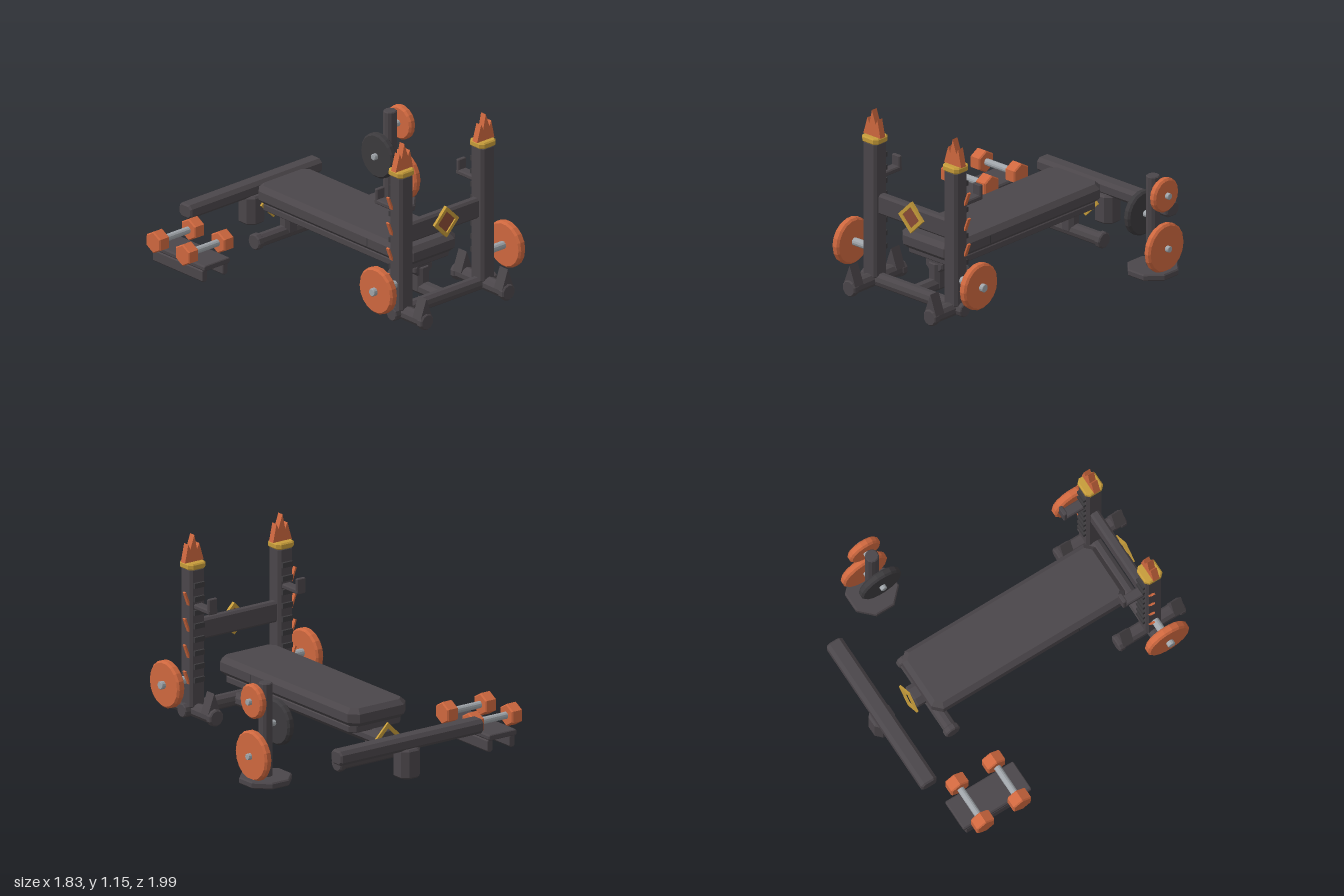
import * as THREE from 'three';

const mat = (name, color) => {
  const m = new THREE.MeshStandardMaterial({ color });
  m.name = name;
  return m;
};

export function createModel() {
  const root = new THREE.Group();
  root.name = 'benchPressSet';
  const iron = mat('dark iron', 0x4b464a);
  const black = mat('black rubber', 0x3c3a3d);
  const orange = mat('ember orange', 0xcf683f);
  const ember = mat('deep ember', 0x8a4a36);
  const gold = mat('gold', 0xc69c3a);
  const steel = mat('steel', 0xa0a5aa);
  const CX = 0.013; // centre line of the bench

  const add = (name, geo, m, x, y, z, parent = root) => {
    const mesh = new THREE.Mesh(geo, m);
    mesh.name = name;
    mesh.position.set(x, y, z);
    parent.add(mesh);
    return mesh;
  };
  const poly = pts => new THREE.Shape(pts.map(p => new THREE.Vector2(p[0], p[1])));
  const extrude = (shape, depth) =>
    new THREE.ExtrudeGeometry(shape, { depth, bevelEnabled: false }).translate(0, 0, -depth / 2);

  // Box with cut corners (c) and bevelled ends (b); length d runs along the chosen axis
  const bar = (w, h, d, c, b, axis = 'z') => {
    const x = w / 2 - b, y = h / 2 - b;
    const s = poly([[-x + c, -y], [x - c, -y], [x, -y + c], [x, y - c],
      [x - c, y], [-x + c, y], [-x, y - c], [-x, -y + c]]);
    const g = new THREE.ExtrudeGeometry(s, {
      depth: d - 2 * b, bevelThickness: b, bevelSize: b, bevelSegments: 1,
    }).translate(0, 0, b - d / 2);
    if (axis === 'x') g.rotateY(Math.PI / 2);
    if (axis === 'y') g.rotateX(-Math.PI / 2);
    return g;
  };

  // Faceted disc or rod with bevelled rims
  const disc = (r, t, n, b, axis = 'x', turn = 0) => {
    const h = t / 2;
    const pts = [[0, -h], [r - b, -h], [r, b - h], [r, h - b], [r - b, h], [0, h]];
    let g = new THREE.LatheGeometry(pts.map(p => new THREE.Vector2(p[0], p[1])), n).toNonIndexed();
    g.rotateY(turn);
    if (axis === 'x') g.rotateZ(Math.PI / 2);
    if (axis === 'z') g.rotateX(Math.PI / 2);
    g.computeVertexNormals();
    return g;
  };

  // Gold diamond frame
  const diamondRing = (R, r, t) => {
    const s = poly([[R, 0], [0, R], [-R, 0], [0, -R]]);
    s.holes.push(new THREE.Path([[r, 0], [0, -r], [-r, 0], [0, r]].map(p => new THREE.Vector2(...p))));
    return extrude(s, t);
  };
  const diamond = (r, t) => extrude(poly([[r, 0], [0, r], [-r, 0], [0, -r]]), t);

  // Bench
  add('benchPad', bar(0.435, 1.37, 0.115, 0.035, 0.03, 'y'), iron, CX, 0.3325, 0.005);
  for (const s of [-1, 1])
    add('padSeam', new THREE.BoxGeometry(0.005, 0.05, 0.008), black, CX + s * 0.2165, 0.333, 0.335);
  add('benchPlate', bar(0.39, 1.28, 0.045, 0.03, 0.006, 'y'), iron, CX, 0.255, 0);
  add('benchBeam', bar(0.14, 0.1, 1.32, 0.03, 0.008), iron, CX, 0.188, -0.06);
  add('frontLeg', bar(0.09, 0.09, 0.16, 0.02, 0.004, 'y'), iron, CX, 0.12, 0.57);
  add('floorBeam', bar(0.085, 0.08, 0.45, 0.02, 0.006), iron, CX, 0.06, 0.535);
  add('rearLeg', bar(0.1, 0.09, 0.14, 0.02, 0.004, 'y'), iron, CX, 0.12, -0.6);
  add('rearFoot', disc(0.043, 0.54, 10, 0.006), iron, CX, 0.055, -0.6);
  for (const s of [-1, 1]) add('rearFootCap', disc(0.052, 0.045, 10, 0.008), iron, CX + s * 0.26, 0.055, -0.6);
  add('rearDiamond', diamondRing(0.1, 0.066, 0.014), gold, CX, 0.195, -0.737);

  // Separate rear beam on its post
  add('rearPost', bar(0.145, 0.145, 0.185, 0.03, 0.012, 'y'), iron, CX, 0.1, -0.928);
  add('rearBar', bar(0.11, 0.09, 1.07, 0.016, 0.01, 'x'), iron, 0.01, 0.227, -0.93);

  // Rack cross members and front emblem
  add('lowerCrossbar', disc(0.045, 0.83, 10, 0.006), iron, CX, 0.06, 0.762);
  add('upperCrossbeam', bar(0.06, 0.13, 0.57, 0.01, 0.006, 'x'), iron, CX, 0.553, 0.755);
  add('emblemFrame', diamondRing(0.1, 0.07, 0.022), gold, CX, 0.553, 0.792);
  add('emblemCore', diamond(0.072, 0.009), ember, CX, 0.553, 0.789);

  // Mirrored uprights with feet, flames, hooks and loaded pegs
  const flame = poly([[-0.07, 0], [0.07, 0], [0.045, 0.115], [0.03, 0.08], [0, 0.168], [-0.02, 0.075], [-0.037, 0.11]]);
  const fin = poly([[-0.048, 0], [0.048, 0], [0, 0.13]]);
  for (const s of [-1, 1]) {
    const u = new THREE.Group();
    u.name = s > 0 ? 'leftUpright' : 'rightUpright';
    u.position.set(CX + s * 0.33, 0, 0.76);
    root.add(u);
    add('post', bar(0.11, 0.11, 0.87, 0.012, 0.008, 'y'), iron, 0, 0.515, 0, u);
    add('postCap', bar(0.132, 0.125, 0.04, 0.018, 0.008, 'y'), gold, 0, 0.966, 0, u);
    add('flame', extrude(flame, 0.042), orange, 0, 0.985, 0.005, u);
    add('foot', disc(0.046, 0.46, 10, 0.006, 'z'), iron, 0, 0.058, -0.005, u);
    for (const z of [-0.218, 0.21]) add('footCap', disc(0.053, 0.045, 10, 0.008, 'z'), iron, 0, 0.056, z, u);
    for (const z of [-0.178, 0.186]) add('footFin', extrude(fin, 0.072), iron, 0, 0.075, z, u);
    for (let i = 0; i < 8; i++)
      add('rung', new THREE.BoxGeometry(0.075, 0.032, 0.022), black, 0, 0.85 - i * 0.085, -0.06, u);
    add('hookArm', bar(0.065, 0.032, 0.155, 0.005, 0.004), iron, 0, 0.716, -0.128, u);
    add('hookLip', bar(0.065, 0.026, 0.095, 0.004, 0.004, 'y'), iron, 0, 0.75, -0.193, u);
    for (let i = 0; i < 4; i++) {
      const spike = add('sideSpike', new THREE.BoxGeometry(0.011, 0.09, 0.024), orange,
        s * 0.068, 0.768 - i * 0.165, -0.028, u);
      spike.rotation.z = -s * 0.36;
    }
    add('peg', disc(0.025, 0.2, 12, 0.003), steel, s * 0.145, 0.248, 0.003, u);
    add('pegPlate', disc(0.147, 0.055, 18, 0.012), orange, s * 0.19, 0.248, 0.003, u);
  }

  // Plate tree
  const tree = new THREE.Group();
  tree.name = 'plateTree';
  tree.position.set(0.763, 0, -0.52);
  root.add(tree);
  add('treeBase', disc(0.164, 0.042, 8, 0.008, 'y', Math.PI / 8), iron, 0, 0.034, 0, tree);
  add('treePost', disc(0.042, 0.59, 12, 0.006, 'y'), iron, 0, 0.345, 0, tree);
  for (const [side, y, r, m] of [[1, 0.195, 0.156, orange], [1, 0.538, 0.108, orange], [-1, 0.372, 0.142, black]]) {
    add('treePeg', disc(0.02, 0.12, 12, 0.003), steel, side * 0.08, y, 0, tree);
    add('treePlate', disc(r, 0.05, 18, 0.012), m, side * 0.09, y, 0, tree);
  }

  // Dumbbell rack
  const rack = new THREE.Group();
  rack.name = 'dumbbellRack';
  rack.position.set(-0.737, 0, -0.65);
  root.add(rack);
  add('shelf', bar(0.21, 0.036, 0.48, 0.006, 0.005), iron, 0, 0.107, 0, rack);
  for (const s of [-1, 1]) add('runner', bar(0.04, 0.08, 0.44, 0.008, 0.004), iron, s * 0.083, 0.052, 0, rack);
  for (const z of [-0.131, 0.128]) {
    add('handle', disc(0.022, 0.24, 12, 0.002), steel, 0, 0.184, z, rack);
    for (const s of [-1, 1])
      add('dumbbellHead', disc(0.071, 0.08, 6, 0.008, 'x', Math.PI / 6), orange, s * 0.143, 0.184, z, rack);
  }
  return root;
}
